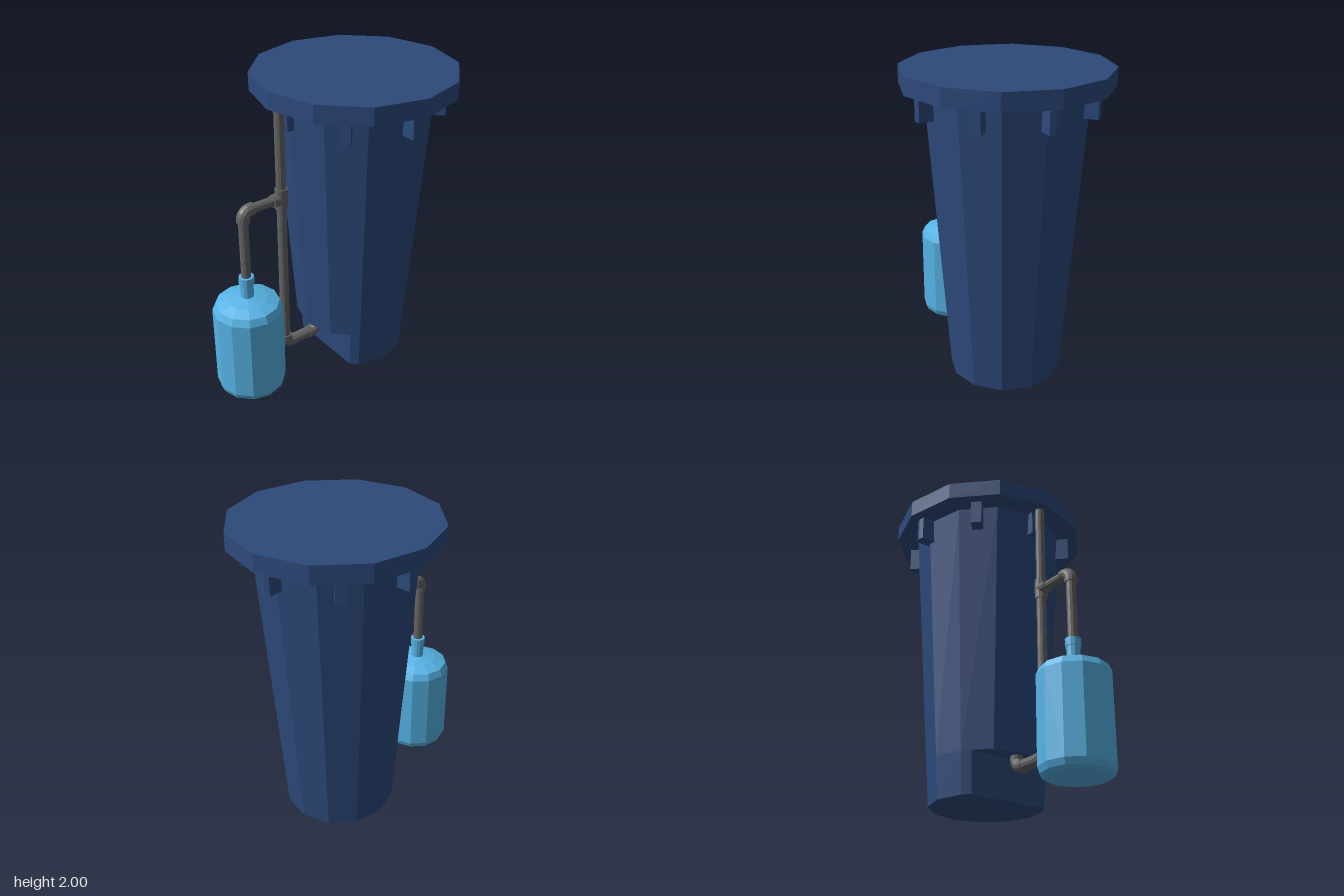
import * as THREE from 'three';

const SIDES = 12;
const TUB_X = 0.21, PIPE_X = -0.355, TANK_X = -0.635;
const PIPE_R = 0.031, FIT_R = 0.041;

function flat(name, color) {
  const m = new THREE.MeshStandardMaterial({ color, flatShading: true });
  m.name = name;
  return m;
}

export function createModel() {
  const model = new THREE.Group();
  model.name = 'filterTank';
  const navy = flat('navy plastic', 0x2d4a7c);
  const sky = flat('light blue plastic', 0x56b4e6);
  const grey = flat('grey pipe', 0x646464);

  function add(name, geometry, material, x = 0, y = 0, z = 0, parent = model) {
    const mesh = new THREE.Mesh(geometry, material);
    mesh.name = name;
    mesh.position.set(x, y, z);
    parent.add(mesh);
    return mesh;
  }
  // upright frustum between two heights
  function column(name, material, x, y0, y1, r0, r1 = r0, sides = SIDES) {
    return add(name, new THREE.CylinderGeometry(r1, r0, y1 - y0, sides), material, x, (y0 + y1) / 2);
  }
  // straight pipe along x
  function level(name, x0, x1, y, r) {
    const g = new THREE.CylinderGeometry(r, r, x1 - x0, SIDES).rotateZ(Math.PI / 2);
    return add(name, g, grey, (x0 + x1) / 2, y);
  }

  // Tapered tub, its foot cut off flat on the pipe side
  const tubRadius = y => 0.36 + 0.0745 * y;
  const NOTCH = 0.262, CUT = 0.62, CUT_Z = 0.747;
  column('tub', navy, TUB_X, NOTCH, 1.89, tubRadius(NOTCH), tubRadius(1.89));
  const foot = column('tubFoot', navy, TUB_X, 0, NOTCH, tubRadius(0), tubRadius(NOTCH));
  const p = foot.geometry.attributes.position;
  for (let i = 0; i < p.count; i++) {
    const r = tubRadius(p.getY(i) + NOTCH / 2);
    if (p.getX(i) < -CUT * r) {
      p.setX(i, -CUT * r);
      p.setZ(i, THREE.MathUtils.clamp(p.getZ(i) * 2, -CUT_Z * r, CUT_Z * r));
    }
  }

  // Lid
  column('lid', navy, TUB_X, 1.888, 2, 0.645);

  // Eight ribs under the lid; those on tub corners have a pointed outer face
  const ribs = new THREE.Group();
  ribs.name = 'lidRibs';
  ribs.position.x = TUB_X;
  model.add(ribs);
  for (let i = 0; i < 8; i++) {
    const onCorner = i % 2 === 0;
    const outer = i === 4 ? 0.54 : onCorner ? 0.58 : 0.56;
    const w = 0.035;
    const shape = new THREE.Shape();
    shape.moveTo(0.44, -w);
    shape.lineTo(outer - (onCorner ? 0.0094 : 0), -w);
    if (onCorner) shape.lineTo(outer, 0);
    shape.lineTo(outer - (onCorner ? 0.0094 : 0), w);
    shape.lineTo(0.44, w);
    const g = new THREE.ExtrudeGeometry(shape, { depth: 0.16, bevelEnabled: false });
    g.rotateX(-Math.PI / 2);
    add('rib', g, navy, 0, 1.73, 0, ribs).rotation.y = i * Math.PI / 4;
  }

  // Light blue pressure tank
  const profile = [[0, 0], [0.185, 0], [0.21, 0.018], [0.225, 0.055], [0.225, 0.6], [0.203, 0.645],
    [0.13, 0.672], [0.042, 0.692], [0.042, 0.785], [0.049, 0.785], [0.049, 0.835], [0, 0.835]]
    .map(([x, y]) => new THREE.Vector2(x, y));
  add('pressureTank', new THREE.LatheGeometry(profile, SIDES), sky, TANK_X);

  // Straight pipes
  column('riserPipe', grey, PIPE_X, 0.24, 1.89, PIPE_R);
  column('tankPipe', grey, TANK_X, 0.82, 1.23, PIPE_R);
  level('branchPipe', -0.58, PIPE_X, 1.29, PIPE_R);
  level('lowerPipe', -0.3, -0.15, 0.185, FIT_R - 0.003);
  column('inletStub', grey, -0.097, 0.24, 0.268, PIPE_R);

  // Tee fitting
  column('tee', grey, PIPE_X, 1.222, 1.358, FIT_R);
  level('teeBranch', -0.422, PIPE_X, 1.29, FIT_R);

  // Quarter-turn elbows with a collar on each end
  const BEND = 0.05, COLLAR = 0.022;
  function elbow(name, x, y, start) {
    const group = new THREE.Group();
    group.name = name;
    group.position.set(x, y, 0);
    group.rotation.z = start;
    model.add(group);
    add('bend', new THREE.TorusGeometry(BEND, FIT_R, SIDES, 5, Math.PI / 2), grey, 0, 0, 0, group);
    add('collar', new THREE.CylinderGeometry(FIT_R, FIT_R, COLLAR, SIDES), grey, BEND, -COLLAR / 2, 0, group);
    const end = new THREE.CylinderGeometry(FIT_R, FIT_R, COLLAR, SIDES).rotateZ(Math.PI / 2);
    add('collar', end, grey, -COLLAR / 2, BEND, 0, group);
  }
  elbow('tankElbow', TANK_X + BEND, 1.24, Math.PI / 2);
  elbow('riserElbow', PIPE_X + BEND, 0.235, Math.PI);
  elbow('inletElbow', -0.097 - BEND, 0.235, Math.PI * 1.5);

  return model;
}
